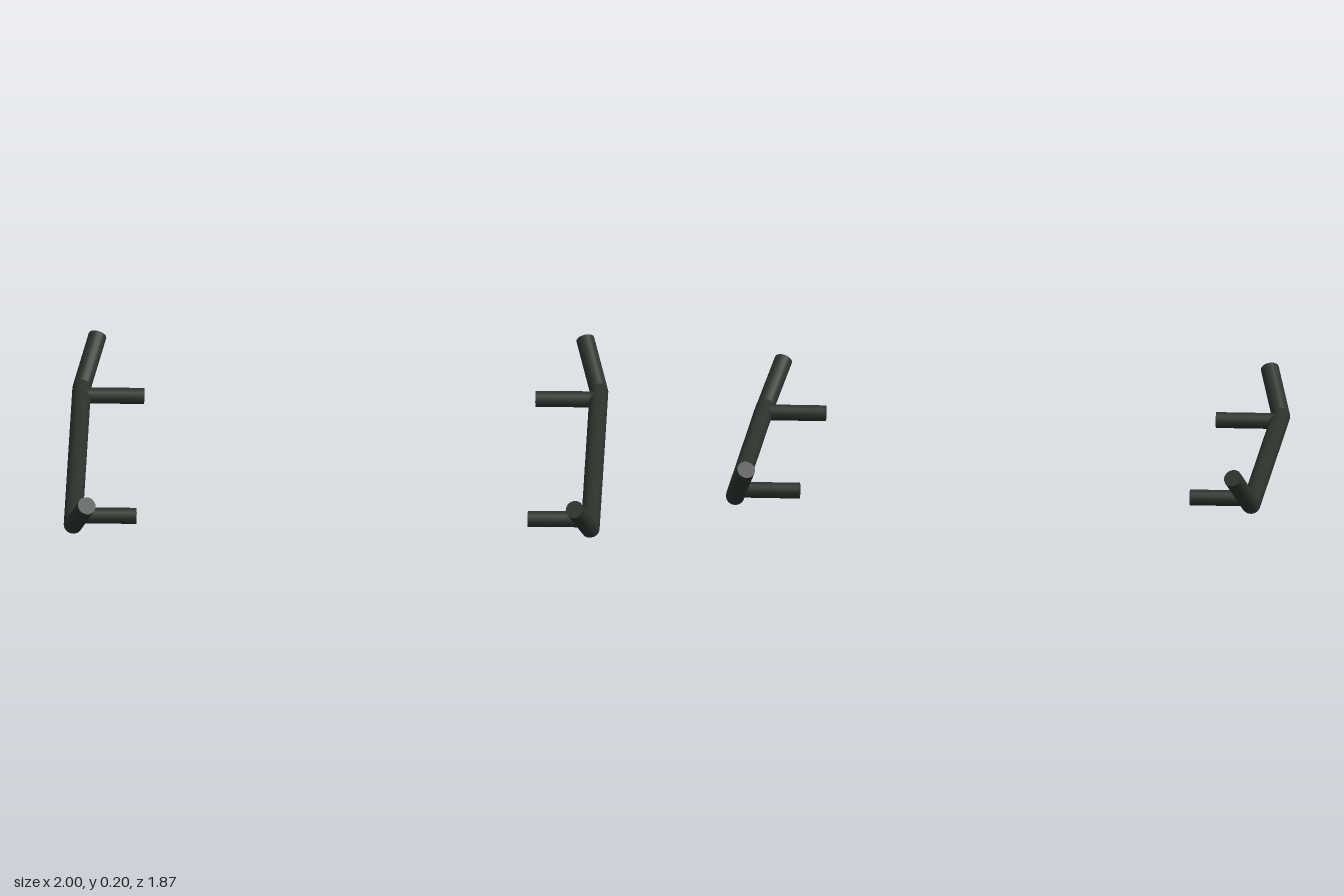
import * as THREE from 'three';

export function createModel() {
  const model = new THREE.Group();
  model.name = 'sideRails';
  const darkMetal = new THREE.MeshStandardMaterial({ color: 0x2c322c });
  darkMetal.name = 'darkMetal';

  // Capped round bar between two points
  function bar(name, parent, from, to, radius) {
    const a = new THREE.Vector3(...from), b = new THREE.Vector3(...to);
    const dir = b.clone().sub(a);
    const mesh = new THREE.Mesh(new THREE.CylinderGeometry(radius, radius, dir.length(), 16), darkMetal);
    mesh.name = name;
    mesh.position.copy(a).add(b).multiplyScalar(0.5);
    mesh.quaternion.setFromUnitVectors(new THREE.Vector3(0, 1, 0), dir.normalize());
    parent.add(mesh);
  }

  for (const [side, s] of [['left', 1], ['right', -1]]) {
    const rail = new THREE.Group();
    rail.name = side + 'Rail';
    model.add(rail);
    // Long straight tube
    bar('mainTube', rail, [s * 0.965, 0.035, -0.735], [s * 0.965, 0.035, 0.735], 0.035);
    for (const [end, e] of [['front', 1], ['rear', -1]]) {
      // Upturned end, leaning inward
      bar(end + 'UpturnedEnd', rail, [s * 0.965, 0.035, e * 0.738], [s * 0.91, 0.177, e * 0.912], 0.034);
      // Mounting stub pointing inward
      bar(end + 'MountingStub', rail, [s * 0.965, 0.038, e * 0.642], [s * 0.73, 0.038, e * 0.642], 0.03);
    }
  }
  return model;
}
